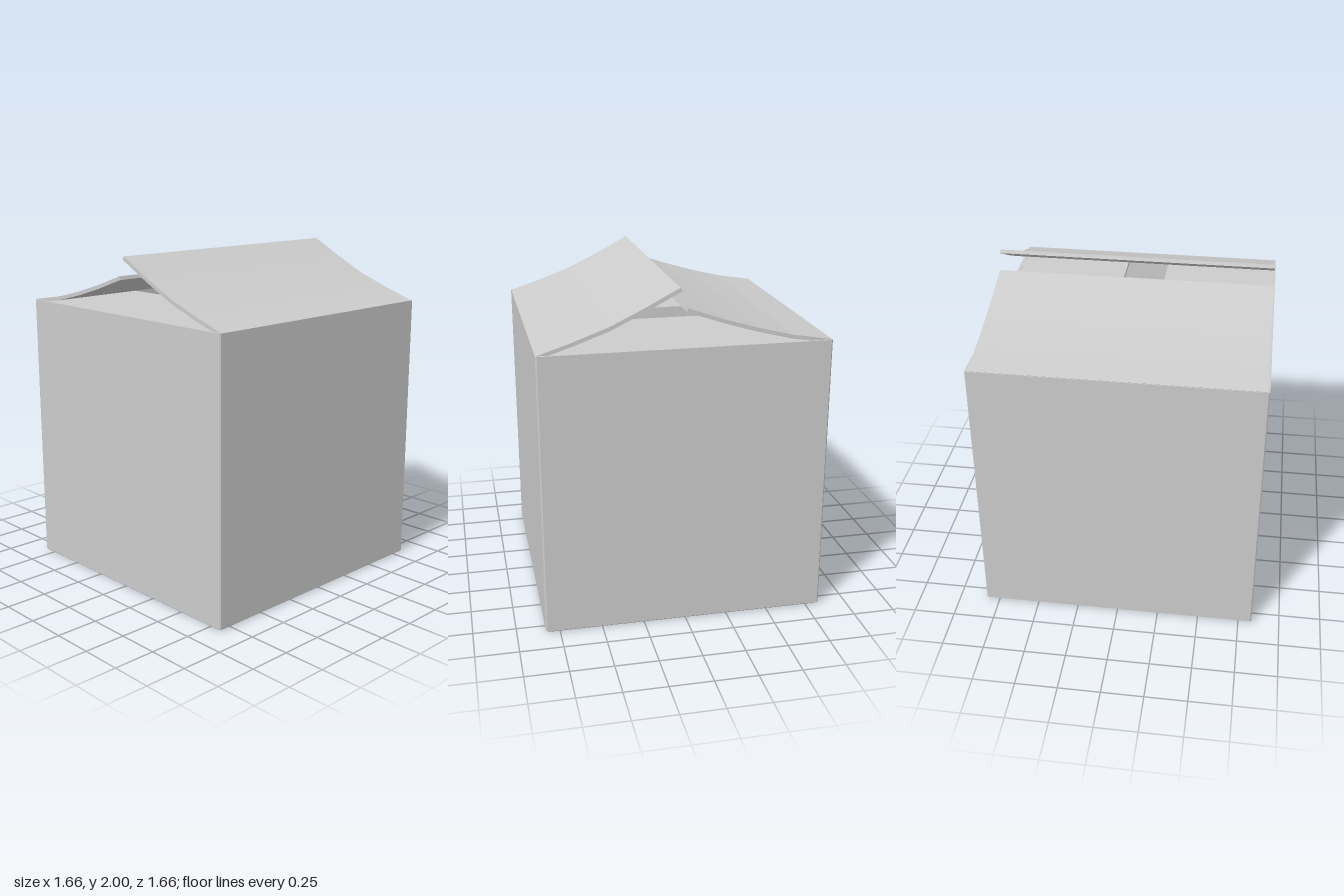
import * as THREE from 'three';

const HALF = 0.832, TOP = 1.667, THICK = 0.022;

export function createModel() {
  const group = new THREE.Group();
  const material = new THREE.MeshStandardMaterial({ color: 0xcccccc });
  const add = (name, geometry) => {
    const mesh = new THREE.Mesh(geometry, material);
    mesh.name = name;
    group.add(mesh);
    return mesh;
  };

  // Square outline with small chamfered corners
  const squarePoints = (h, c) => [
    [h - c, -h], [h, -h + c], [h, h - c], [h - c, h],
    [-h + c, h], [-h, h - c], [-h, -h + c], [-h + c, -h],
  ].map(([x, y]) => new THREE.Vector2(x, y));

  // Four walls as one hollow tube
  const wallShape = new THREE.Shape(squarePoints(HALF, 0.008));
  wallShape.holes.push(new THREE.Path(squarePoints(HALF - THICK, 0.004).reverse()));
  const walls = new THREE.ExtrudeGeometry(wallShape, { depth: TOP - 0.008, bevelEnabled: false });
  walls.rotateX(-Math.PI / 2).translate(0, 0.008, 0);
  add('walls', walls);

  // Floor with a chamfered lower edge
  const floor = new THREE.ExtrudeGeometry(new THREE.Shape(squarePoints(HALF - 0.009, 0.008)), {
    depth: 0.006, bevelThickness: 0.008, bevelSize: 0.008, bevelSegments: 1,
  });
  floor.rotateX(-Math.PI / 2).translate(0, 0.008, 0);
  add('floor', floor);

  // Flat side flaps, leaving a slot in the middle
  for (const side of [-1, 1]) {
    const inner = 0.13, outer = HALF - THICK + 0.004;
    const flap = add(side > 0 ? 'leftFlap' : 'rightFlap',
      new THREE.BoxGeometry(outer - inner, THICK, 2 * (HALF - THICK) + 0.008));
    flap.position.set(side * (inner + outer) / 2, TOP - 0.002 - THICK / 2, 0);
  }

  // Curled flap: a (z, y) top line thickened downwards and extruded across x
  const curledFlap = (name, line) => {
    const top = line.map(([z, y]) => new THREE.Vector2(z, y));
    const under = top.map((p, i) => {
      const a = top[Math.max(i - 1, 0)], b = top[Math.min(i + 1, top.length - 1)];
      const t = b.clone().sub(a).normalize();
      const n = new THREE.Vector2(-t.y, t.x);
      if (n.y > 0) n.negate();
      return p.clone().addScaledVector(n, THICK);
    });
    const width = 1.636;
    const geometry = new THREE.ExtrudeGeometry(new THREE.Shape([...top, ...under.reverse()]),
      { depth: width, bevelEnabled: false });
    geometry.translate(0, 0, -width / 2).rotateY(-Math.PI / 2);
    add(name, geometry);
  };
  curledFlap('frontFlap', [[0.828, TOP], [0.635, 1.73], [0.435, 1.803], [0.24, 1.897], [0.043, 2]]);
  curledFlap('backFlap', [[-0.828, TOP + 0.002], [-0.6, 1.706], [-0.4, 1.756], [-0.2, 1.816], [0, 1.885]]);

  return group;
}
